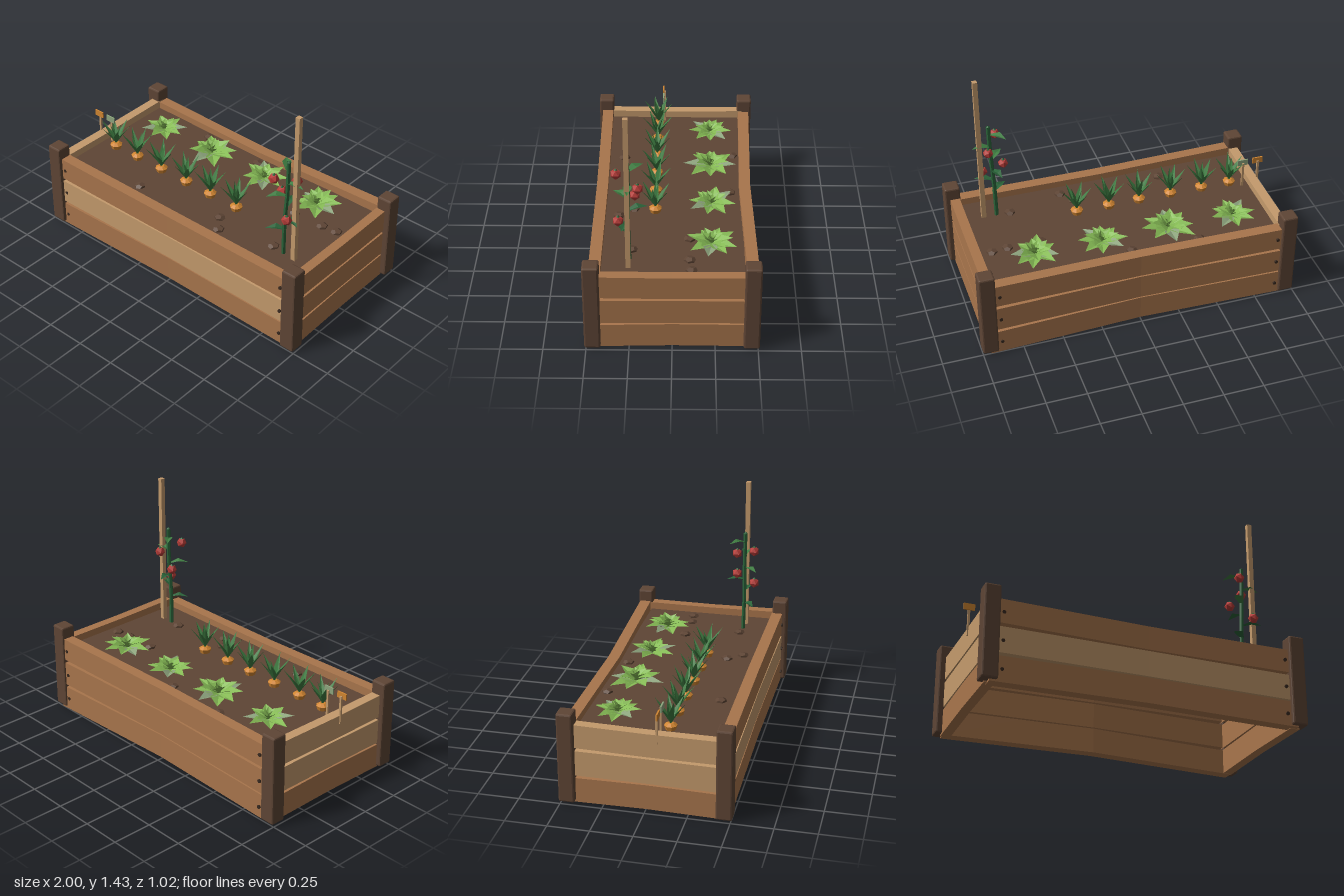
import * as THREE from 'three';
import { RoundedBoxGeometry } from 'three/addons/geometries/RoundedBoxGeometry.js';

const mat = (name, color, extra = {}) => {
  const m = new THREE.MeshStandardMaterial({ color, flatShading: true, ...extra });
  m.name = name;
  return m;
};

// Folded leaf pointing along +x, rising at angle `rise`, tip lowered by `droop`
function leafGeometry(len, width, rise, droop = 0, widest = 0.45) {
  const centre = (t) => [len * t * Math.cos(rise), len * t * Math.sin(rise) - droop * t * t];
  const row = (t, w, fold) => {
    const [x, y] = centre(t);
    // the raised edges lean back along the leaf's own normal
    const ex = x - fold * Math.sin(rise), ey = y + fold * Math.cos(rise);
    return [[ex, ey, -w / 2], [x, y, 0], [ex, ey, w / 2]];
  };
  const rows = [row(0, width * 0.35, width * 0.08), row(widest, width, width * 0.2), row(1, 0, 0)];
  const pos = [];
  for (let i = 0; i < 2; i++) {
    for (let j = 0; j < 2; j++) {
      const a = rows[i][j], b = rows[i][j + 1], c = rows[i + 1][j + 1], d = rows[i + 1][j];
      pos.push(...a, ...b, ...c);
      if (i === 0) pos.push(...a, ...c, ...d);
    }
  }
  const g = new THREE.BufferGeometry();
  g.setAttribute('position', new THREE.Float32BufferAttribute(pos, 3));
  g.computeVertexNormals();
  return g;
}

// Plank along x, bent at its middle by (bowY, bowZ)
function plankGeometry(len, height, depth, bowY, bowZ) {
  const g = new THREE.BoxGeometry(len, height, depth, 4, 1, 1);
  const p = g.attributes.position;
  for (let i = 0; i < p.count; i++) {
    const k = 1 - Math.abs(p.getX(i)) / (len / 2);
    p.setY(i, p.getY(i) + bowY * k);
    p.setZ(i, p.getZ(i) + bowZ * k);
  }
  g.computeVertexNormals();
  return g;
}

export function createModel() {
  const M = {
    wood: mat('plank wood', 0xa8754c),
    pale: mat('pale wood', 0xc49a6c),
    dark: mat('dark brown', 0x5e4535),
    screw: mat('screw metal', 0x38291f),
    lettuce: mat('lettuce green', 0x86bb55, { side: THREE.DoubleSide }),
    sage: mat('sage green', 0x8ea57e, { side: THREE.DoubleSide }),
    frond: mat('frond green', 0x3f7d42, { side: THREE.DoubleSide }),
    vine: mat('vine green', 0x2a6339, { side: THREE.DoubleSide }),
    orange: mat('carrot orange', 0xd08531),
    red: mat('tomato red', 0xb53c38),
  };
  const model = new THREE.Group();
  model.name = 'raisedGardenBed';
  let seed = 7;
  const rand = () => (seed = (seed * 16807) % 2147483647) / 2147483647;
  const vary = (a) => (rand() - 0.5) * 2 * a;
  const add = (parent, name, geo, material, x = 0, y = 0, z = 0) => {
    const m = new THREE.Mesh(geo, material);
    m.name = name;
    m.position.set(x, y, z);
    parent.add(m);
    return m;
  };
  const group = (name, x = 0, y = 0, z = 0) => {
    const g = new THREE.Group();
    g.name = name;
    g.position.set(x, y, z);
    model.add(g);
    return g;
  };
  const SOIL = 0.46;

  // Corner posts
  const frame = group('frame');
  for (const x of [-0.951, 0.951])
    for (const z of [-0.462, 0.462])
      add(frame, 'cornerPost', new RoundedBoxGeometry(0.098, 0.565, 0.095, 1, 0.01), M.dark, x, 0.307, z);

  // Planks: [y, height, tilt, bow] for the three rows
  const rows = [[0.092, 0.156, 0.002, 0.012], [0.264, 0.158, -0.003, 0.004], [0.436, 0.146, -0.005, -0.007]];
  rows.forEach(([y, h, tilt, bow], i) => {
    const front = add(frame, 'frontPlank', plankGeometry(1.9, h, 0.07, bow, -0.006),
      i === 1 ? M.pale : M.wood, 0, y, 0.45);
    front.rotation.set(0, 0.004, tilt);
    const back = add(frame, 'backPlank', plankGeometry(1.9, h, 0.07, bow, 0.022), M.wood, 0, y, -0.462);
    back.rotation.set(0, 0.003, -tilt);
    for (const s of [-1, 1]) {
      const side = add(frame, s < 0 ? 'leftEndRow' : 'rightEndRow',
        plankGeometry(0.9, h, 0.06, bow * 0.6, 0), s < 0 && i > 0 ? M.pale : M.wood, s * 0.935, y, 0);
      side.name = s < 0 ? 'rightPlank' : 'leftPlank';
      side.rotation.set(0, Math.PI / 2 + s * 0.008, s * tilt);
    }
    // Screw heads near the plank ends
    for (const x of [-0.878, 0.878])
      for (const z of [-0.497, 0.485]) {
        const screw = add(frame, 'screw', new THREE.CylinderGeometry(0.011, 0.011, 0.012, 8), M.screw, x, y - 0.002, z);
        screw.rotation.x = Math.PI / 2;
      }
  });

  // Soil and clods
  add(model, 'soil', new THREE.BoxGeometry(1.82, 0.08, 0.84), M.dark, 0, SOIL - 0.04, 0);
  const clods = [[-0.41, -0.37], [0.02, -0.35], [0.52, -0.1], [0.73, -0.1], [0.83, -0.11],
    [0.21, 0.24], [-0.38, 0.32], [0.28, 0.33], [0.63, 0.24]];
  for (const [x, z] of clods) {
    const clod = add(model, 'soilClod', new THREE.DodecahedronGeometry(0.036), M.dark, x, SOIL + 0.004, z);
    clod.scale.y = 0.5;
    clod.rotation.y = rand() * 6;
  }

  // Lettuces: rings of [count, length, width, rise, start height]
  const rings = [[8, 0.16, 0.088, 0.25, 0.012], [6, 0.125, 0.08, 0.55, 0.02], [5, 0.095, 0.062, 0.85, 0.025], [3, 0.08, 0.045, 1.2, 0.03]];
  [[-0.68, -0.23, 0.9], [-0.26, -0.23, 1.08], [0.17, -0.235, 0.95], [0.59, -0.23, 1.02]].forEach(([x, z, s], n) => {
    const head = group('lettuce', x, SOIL, z);
    head.scale.setScalar(s);
    head.rotation.y = n * 0.7;
    rings.forEach(([count, len, width, rise, y], r) => {
      for (let i = 0; i < count; i++) {
        const leaf = add(head, 'lettuceLeaf', leafGeometry(len * (1 + vary(0.1)), width, rise + vary(0.08), 0.015),
          r === 0 && i % 4 === 1 ? M.sage : M.lettuce, 0, y, 0);
        leaf.rotation.y = (i / count) * Math.PI * 2 + r * 0.45 + vary(0.1);
      }
    });
  });

  // Carrots with a fan of fronds
  [-0.79, -0.6, -0.39, -0.18, 0.02, 0.23].forEach((x, n) => {
    const carrot = group('carrot', x, SOIL, 0.11);
    carrot.rotation.y = n * 0.35 + 0.3;
    add(carrot, 'carrotRoot', new THREE.CylinderGeometry(0.04, 0.03, 0.03, 8), M.orange, 0, 0.013, 0);
    add(carrot, 'carrotCrown', new THREE.CylinderGeometry(0.018, 0.04, 0.014, 8), M.orange, 0, 0.035, 0);
    for (let i = 0; i < 8; i++) {
      const outer = i < 6;
      const frond = add(carrot, 'carrotFrond',
        leafGeometry(outer ? 0.185 : 0.165, 0.036, outer ? 1.02 : 1.35, 0.01), M.frond, 0, 0.036, 0);
      frond.rotation.y = outer ? (i / 6) * Math.PI * 2 + vary(0.1) : i * Math.PI + 0.5;
    }
  });

  // Tomato plant and stake
  add(model, 'stake', new THREE.BoxGeometry(0.029, 1.03, 0.029), M.pale, 0.794, 0.932, 0.255);
  const tomato = group('tomatoPlant');
  const path = new THREE.CatmullRomCurve3([[0.712, 0.44, 0.25], [0.716, 0.7, 0.254], [0.727, 0.9, 0.25], [0.732, 1.12, 0.252]]
    .map((p) => new THREE.Vector3(...p)));
  add(tomato, 'tomatoStem', new THREE.TubeGeometry(path, 6, 0.013, 6), M.vine);
  add(tomato, 'stemTip', new THREE.ConeGeometry(0.013, 0.012, 6), M.vine, 0.732, 1.124, 0.252);
  // Leaves: [height, heading x, heading z]
  for (const [y, dx, dz] of [[0.64, -0.1, 0.08], [0.725, 0.12, 0.04], [0.8, -0.04, -0.12], [0.88, -0.09, 0.1], [0.97, 0.12, 0], [1.06, -0.09, -0.1]]) {
    const leaf = add(tomato, 'tomatoLeaf', leafGeometry(0.13, 0.055, 0.42, 0.045, 0.5), y > 0.85 ? M.frond : M.vine, 0.722, y, 0.252);
    leaf.rotation.y = Math.atan2(-dz, dx);
  }
  for (const [x, y, z] of [[0.68, 1.02, 0.32], [0.752, 0.97, 0.196], [0.66, 0.867, 0.215], [0.772, 0.765, 0.308]]) {
    add(tomato, 'tomatoFruit', new THREE.IcosahedronGeometry(0.033), M.red, x, y, z);
    const cap = add(tomato, 'fruitCap', new THREE.ConeGeometry(0.012, 0.012, 5), M.vine, x, y + 0.032, z);
    cap.rotation.y = x * 10;
  }

  // Row markers
  for (const [x, material] of [[-0.966, M.orange], [-0.865, M.sage]]) {
    const marker = group('rowMarker', x, 0, 0.07);
    add(marker, 'markerStick', new THREE.BoxGeometry(0.014, 0.18, 0.012), M.pale, 0, 0.54, 0);
    add(marker, 'markerPlate', new THREE.BoxGeometry(0.068, 0.04, 0.009), material, 0, 0.632, 0.008);
  }
  return model;
}
